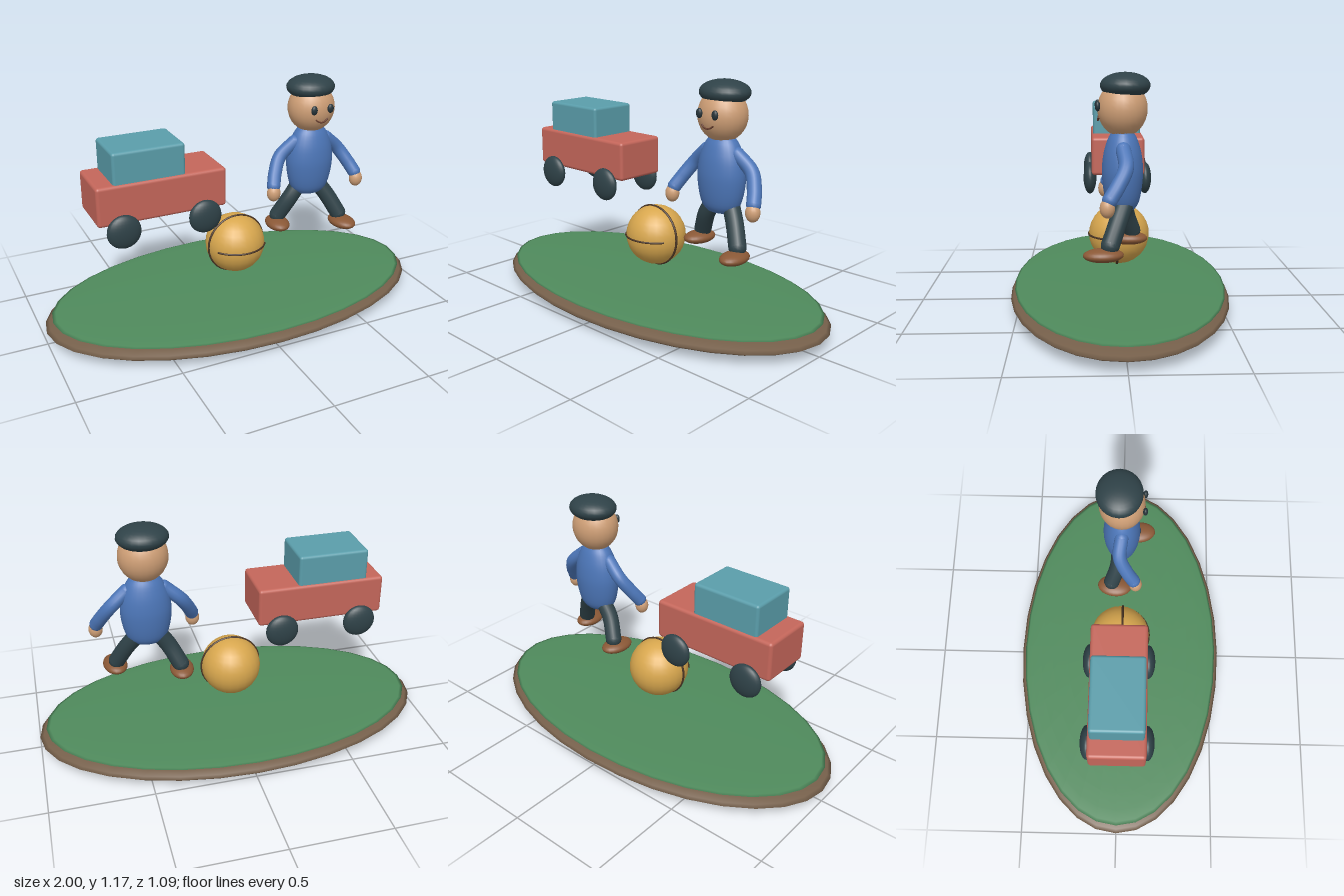
import * as THREE from 'three';
import { RoundedBoxGeometry } from 'three/addons/geometries/RoundedBoxGeometry.js';

const paint = (color) => new THREE.MeshStandardMaterial({ color });
const MAT = {
  earth: paint(0x755f4a), grass: paint(0x4f8a5c), red: paint(0xc4665a), teal: paint(0x5a9daa),
  dark: paint(0x2f4248), gold: paint(0xd8a74e), seam: paint(0x4a3524), skin: paint(0xcf9f76),
  blue: paint(0x4c76b8), shoe: paint(0x8a5836), ink: paint(0x26343a), lip: paint(0x6b4030),
};

function add(parent, name, geometry, material, x = 0, y = 0, z = 0) {
  const mesh = new THREE.Mesh(geometry, material);
  mesh.name = name;
  mesh.position.set(x, y, z);
  parent.add(mesh);
  return mesh;
}

// Ellipsoid with three radii
function ellipsoid(parent, name, material, [x, y, z], [rx, ry, rz], w = 24, h = 16) {
  return add(parent, name, new THREE.SphereGeometry(1, w, h).scale(rx, ry, rz), material, x, y, z);
}

// Curved limb with rounded ends
function limb(parent, name, material, radius, points) {
  const group = new THREE.Group();
  group.name = name;
  const path = points.map((p) => new THREE.Vector3(...p));
  const curve = new THREE.CatmullRomCurve3(path);
  add(group, name + 'Tube', new THREE.TubeGeometry(curve, 16, radius, 14), material);
  for (const p of [path[0], path[path.length - 1]]) {
    add(group, name + 'End', new THREE.SphereGeometry(radius, 14, 10), material, p.x, p.y, p.z);
  }
  parent.add(group);
}

function buildIsland() {
  const island = new THREE.Group();
  island.name = 'island';
  ellipsoid(island, 'earth', MAT.earth, [0, 0.06, 0], [1, 0.06, 0.545], 32, 16);
  ellipsoid(island, 'grass', MAT.grass, [0, 0.105, 0], [0.965, 0.018, 0.525], 32, 16);
  return island;
}

function buildBall() {
  const ball = new THREE.Group();
  ball.name = 'ball';
  ball.position.y = 0.34;
  ellipsoid(ball, 'ballBody', MAT.gold, [0, 0, 0], [0.152, 0.152, 0.152], 24, 16);
  // Upright ring and a short arc across the front
  add(ball, 'ringSeam', new THREE.TorusGeometry(0.152, 0.006, 8, 40), MAT.seam, 0, 0, 0.012);
  const arc = new THREE.TorusGeometry(0.153, 0.005, 8, 24, 2.05);
  arc.rotateZ((Math.PI - 2.05) / 2).rotateX(Math.PI / 2);
  add(ball, 'frontSeam', arc, MAT.seam);
  return ball;
}

function buildCart() {
  const cart = new THREE.Group();
  cart.name = 'cart';
  add(cart, 'cartBody', new RoundedBoxGeometry(0.64, 0.195, 0.272, 3, 0.016), MAT.red, -0.428, 0.717, 0);
  add(cart, 'cabin', new RoundedBoxGeometry(0.352, 0.17, 0.252, 3, 0.014), MAT.teal, -0.487, 0.88, 0);
  for (const x of [-0.63, -0.225]) {
    for (const z of [-0.145, 0.145]) {
      ellipsoid(cart, 'wheel', MAT.dark, [x, 0.588, z], [0.083, 0.083, 0.034]);
    }
  }
  return cart;
}

function buildFigure() {
  const figure = new THREE.Group();
  figure.name = 'figure';
  figure.position.x = 0.424;

  // Torso: oval turned profile
  const profile = [[0, 0.548], [0.45, 0.55], [0.64, 0.563], [0.8, 0.59], [0.92, 0.64], [0.99, 0.7],
    [0.99, 0.75], [0.91, 0.81], [0.74, 0.865], [0.58, 0.895], [0.48, 0.904], [0, 0.905]];
  const curve = new THREE.SplineCurve(profile.map(([r, y]) => new THREE.Vector2(r, y)));
  const outline = curve.getPoints(30).map((p) => new THREE.Vector2(Math.max(0, p.x), p.y));
  add(figure, 'torso', new THREE.LatheGeometry(outline, 28).scale(0.126, 1, 0.093), MAT.blue);

  // Head, cap and face
  ellipsoid(figure, 'head', MAT.skin, [0, 1.007, 0], [0.121, 0.125, 0.112]);
  ellipsoid(figure, 'cap', MAT.dark, [0, 1.11, -0.012], [0.125, 0.059, 0.112]);
  for (const side of [-1, 1]) {
    ellipsoid(figure, 'eye', MAT.ink, [side * 0.046, 1.022, 0.111], [0.017, 0.023, 0.012], 16, 12);
  }
  const smile = new THREE.QuadraticBezierCurve3(new THREE.Vector3(-0.034, 0.972, 0.106),
    new THREE.Vector3(0, 0.938, 0.114), new THREE.Vector3(0.034, 0.972, 0.106));
  add(figure, 'mouth', new THREE.TubeGeometry(smile, 12, 0.004, 6), MAT.lip);

  // Arms and hands, mirrored
  for (const s of [-1, 1]) {
    limb(figure, 'arm', MAT.blue, 0.034,
      [[s * 0.09, 0.835, 0], [s * 0.168, 0.765, -0.008], [s * 0.215, 0.69, 0.03], [s * 0.238, 0.64, 0.063]]);
    ellipsoid(figure, 'hand', MAT.skin, [s * 0.243, 0.606, 0.074], [0.035, 0.043, 0.033], 18, 12);
  }

  // Legs and shoes in mid-stride, left foot forward
  for (const [s, z, foot] of [[1, 0.06, 0.09], [-1, -0.05, -0.035]]) {
    limb(figure, 'leg', MAT.dark, 0.042,
      [[s * 0.045, 0.6, -0.012], [s * 0.1, 0.52, z * 0.35], [s * 0.152, 0.42, z]]);
    const shoe = ellipsoid(figure, 'shoe', MAT.shoe, [s * 0.16, 0.38, foot], [0.06, 0.031, 0.09]);
    shoe.rotation.y = s * 0.1;
  }
  return figure;
}

export function createModel() {
  const model = new THREE.Group();
  model.name = 'playScene';
  model.add(buildIsland(), buildBall(), buildCart(), buildFigure());
  return model;
}
